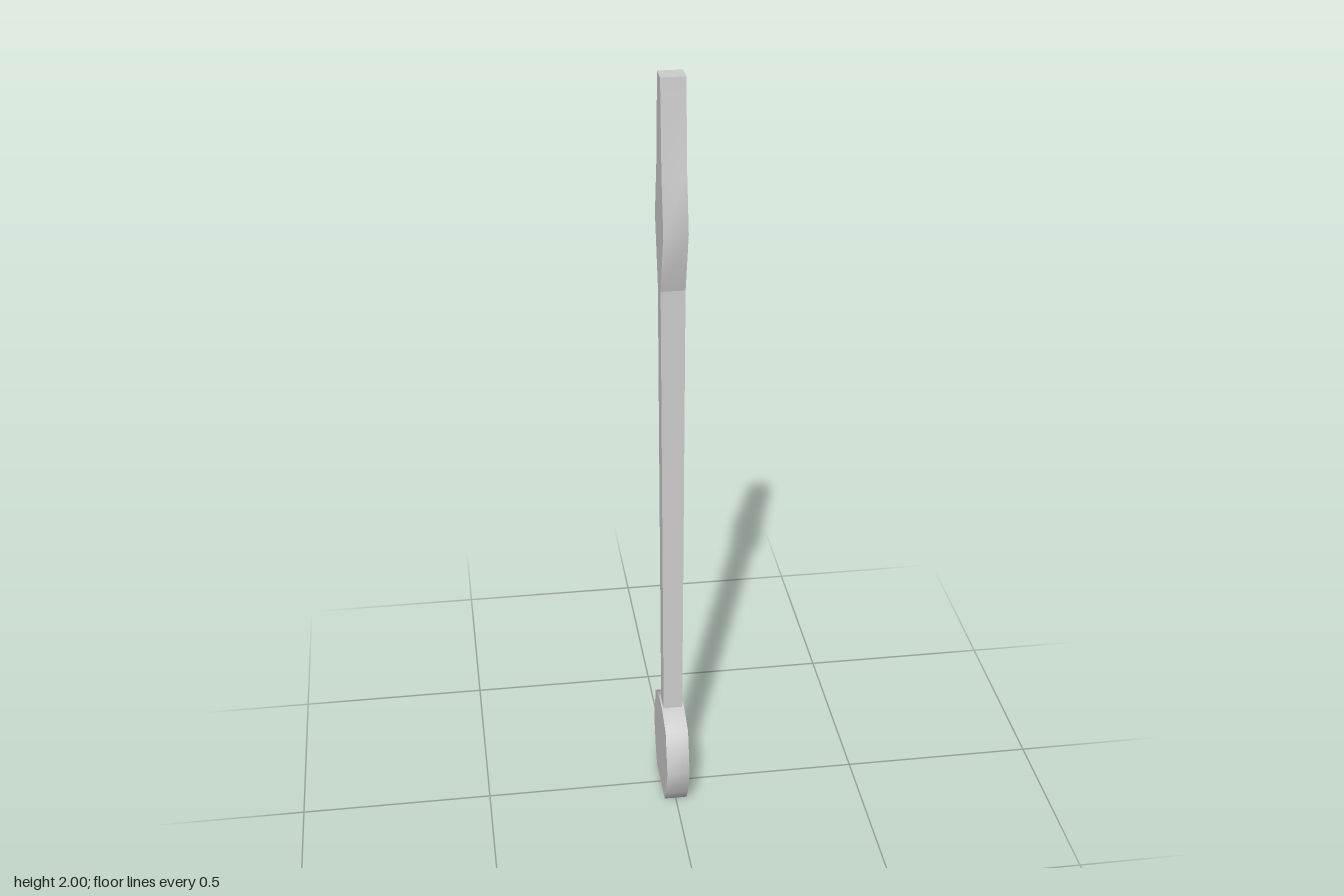
import * as THREE from 'three';
import { toCreasedNormals } from 'three/addons/utils/BufferGeometryUtils.js';

const THICK = 0.06;
const material = new THREE.MeshStandardMaterial({ color: 0xcccccc });

// Flat plate from a (z, y) outline, with its thickness along x
function plate(name, outline) {
  const shape = new THREE.Shape(outline.map(([z, y]) => new THREE.Vector2(z, y)));
  const geo = new THREE.ExtrudeGeometry(shape, { depth: THICK, bevelEnabled: false });
  geo.translate(0, 0, -THICK / 2).rotateY(-Math.PI / 2);
  const mesh = new THREE.Mesh(toCreasedNormals(geo, 1.02), material);
  mesh.name = name;
  return mesh;
}

// Closes a half outline (bottom to top) by mirroring it across z = 0
function mirrored(half) {
  return [...half, ...half.map(([z, y]) => [-z, y]).reverse()];
}

export function createModel() {
  const group = new THREE.Group();
  group.name = 'hand';

  // Faceted counterweight at the foot
  group.add(plate('counterweight', mirrored([
    [0.078, 0], [0.1, 0.035], [0.132, 0.12], [0.1, 0.235], [0.026, 0.262],
  ])));

  // Spear-shaped head
  group.add(plate('spearHead', mirrored([
    [0.026, 1.475], [0.073, 1.637], [0.045, 1.77], [0.026, 2],
  ])));

  // Long shaft, slightly thinner toward the counterweight
  const y0 = 0.262, y1 = 1.475;
  const geo = new THREE.BoxGeometry(THICK, y1 - y0, 0.05);
  geo.translate(0, (y0 + y1) / 2, 0);
  const pos = geo.attributes.position;
  for (let i = 0; i < pos.count; i++) {
    if (pos.getY(i) < 1) pos.setX(i, pos.getX(i) * 0.84);
  }
  geo.computeVertexNormals();
  const shaft = new THREE.Mesh(geo, material);
  shaft.name = 'shaft';
  group.add(shaft);

  return group;
}
